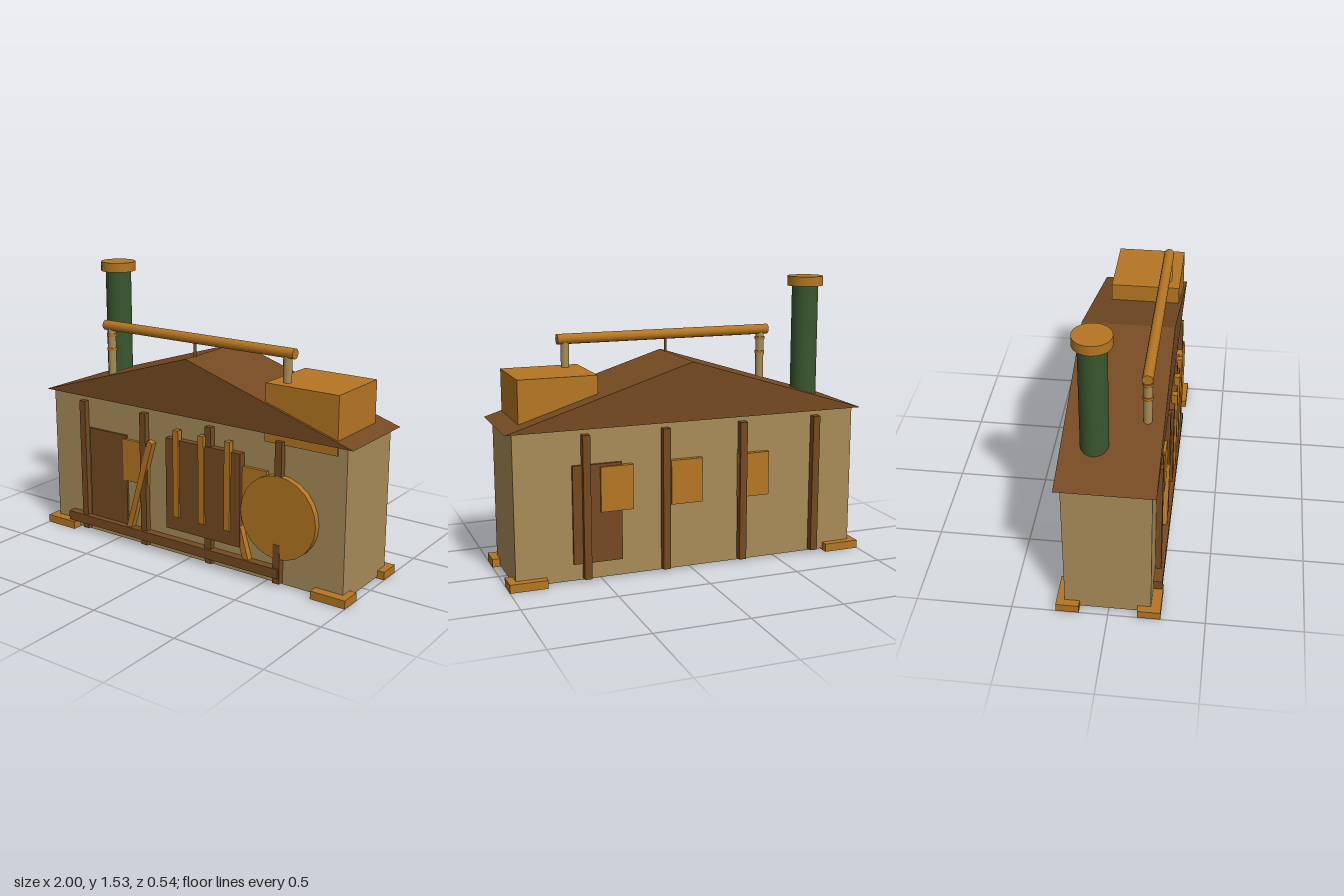
import * as THREE from 'three';

const mat = (name, color) => {
  const m = new THREE.MeshStandardMaterial({ color });
  m.name = name;
  return m;
};

export function createModel() {
  const model = new THREE.Group();
  model.name = 'workshop';
  const tan = mat('tan boards', 0xa88c58);
  const brown = mat('brown timber', 0x754a22);
  const orange = mat('orange wood', 0xb57622);
  const green = mat('green metal', 0x3b5730);

  const add = (name, geometry, material) => {
    const mesh = new THREE.Mesh(geometry, material);
    mesh.name = name;
    model.add(mesh);
    return mesh;
  };
  // Box given by its limits on each axis
  const box = (name, material, x0, x1, y0, y1, z0, z1) => {
    const mesh = add(name, new THREE.BoxGeometry(x1 - x0, y1 - y0, z1 - z0), material);
    mesh.position.set((x0 + x1) / 2, (y0 + y1) / 2, (z0 + z1) / 2);
    return mesh;
  };
  // Upright cylinder from y0 to y1
  const tube = (name, material, r, x, y0, y1, z, sides = 16) => {
    const mesh = add(name, new THREE.CylinderGeometry(r, r, y1 - y0, sides), material);
    mesh.position.set(x, (y0 + y1) / 2, z);
    return mesh;
  };

  // Main building
  box('walls', tan, -0.96, 0.96, 0.01, 0.818, -0.228, 0.218);

  // Gable roof, ridge running front to back
  const gable = new THREE.Shape([
    new THREE.Vector2(-1, 0.813), new THREE.Vector2(1, 0.813), new THREE.Vector2(0, 1.125),
  ]);
  const roof = add('roof', new THREE.ExtrudeGeometry(gable, { depth: 0.495, bevelEnabled: false }), brown);
  roof.position.z = -0.255;

  // Corner feet
  for (const sx of [-1, 1]) for (const sz of [-1, 1]) {
    const foot = add('cornerFoot', new THREE.BoxGeometry(0.2, 0.045, 0.12), orange);
    foot.position.set(sx * 0.9, 0.0225, sz * 0.21);
  }

  // Wall posts, front and back
  for (const x of [-0.725, -0.29, 0.15, 0.585]) {
    box('frontPost', brown, x - 0.02, x + 0.02, 0.02, 0.785, 0.2, 0.25);
    box('backPost', brown, x - 0.02, x + 0.02, 0.02, 0.785, -0.268, -0.21);
  }

  // Doors
  box('frontDoor', brown, -0.69, -0.423, 0.105, 0.63, 0.2, 0.23);
  box('backDoor', brown, 0.39, 0.655, 0.1, 0.625, -0.243, -0.21);

  // Shutters on both long walls
  for (const x of [-0.355, 0.0325, 0.42]) {
    box('frontShutter', orange, x - 0.088, x + 0.088, 0.37, 0.61, 0.2, 0.236);
    box('backShutter', orange, x - 0.088, x + 0.088, 0.37, 0.61, -0.256, -0.21);
  }

  // Leaning braces, mirrored about the panel
  for (const s of [-1, 1]) {
    const brace = add('diagonalBrace', new THREE.BoxGeometry(0.035, 0.565, 0.035), orange);
    brace.position.set(s * 0.318, 0.36, 0.235);
    brace.rotation.z = s * 0.29;
  }

  // Large panel with three battens
  box('frontPanel', brown, -0.125, 0.36, 0.165, 0.68, 0.21, 0.256);
  for (const x of [-0.05, 0.117, 0.284]) {
    box('panelBatten', orange, x - 0.018, x + 0.018, 0.245, 0.735, 0.235, 0.268);
  }

  // Round wheel, with the foot of the last post showing in front of it
  const wheel = add('wheel', new THREE.CylinderGeometry(0.225, 0.225, 0.04, 24), orange);
  wheel.rotation.x = Math.PI / 2;
  wheel.position.set(0.587, 0.38, 0.232);
  box('postFoot', brown, 0.565, 0.605, 0.02, 0.235, 0.25, 0.255);

  // Low rail along the front
  box('frontRail', brown, -0.84, 0.6, 0.052, 0.105, 0.215, 0.265);

  // Chimney with cap
  tube('chimney', green, 0.072, -0.725, 0.83, 1.49, -0.09, 20);
  tube('chimneyCap', orange, 0.098, -0.725, 1.483, 1.535, -0.09, 20);

  // Overhead pipe and its supports
  const pipe = add('roofPipe', new THREE.CylinderGeometry(0.028, 0.028, 1.23, 12), orange);
  pipe.rotation.z = Math.PI / 2;
  pipe.position.set(0, 1.22, 0.155);
  for (const x of [-0.572, 0.572]) tube('pipeSupport', tan, 0.023, x, 0.85, 1.21, 0.155, 12);
  for (const y of [1.09, 1.17]) tube('pipeCollar', orange, 0.028, -0.572, y - 0.008, y + 0.008, 0.155, 12);
  tube('pipeStay', brown, 0.008, 0, 1.1, 1.21, 0.155, 8);

  // Rooftop tank
  box('roofTank', orange, 0.487, 0.907, 0.765, 1.07, -0.157, 0.225);

  return model;
}
